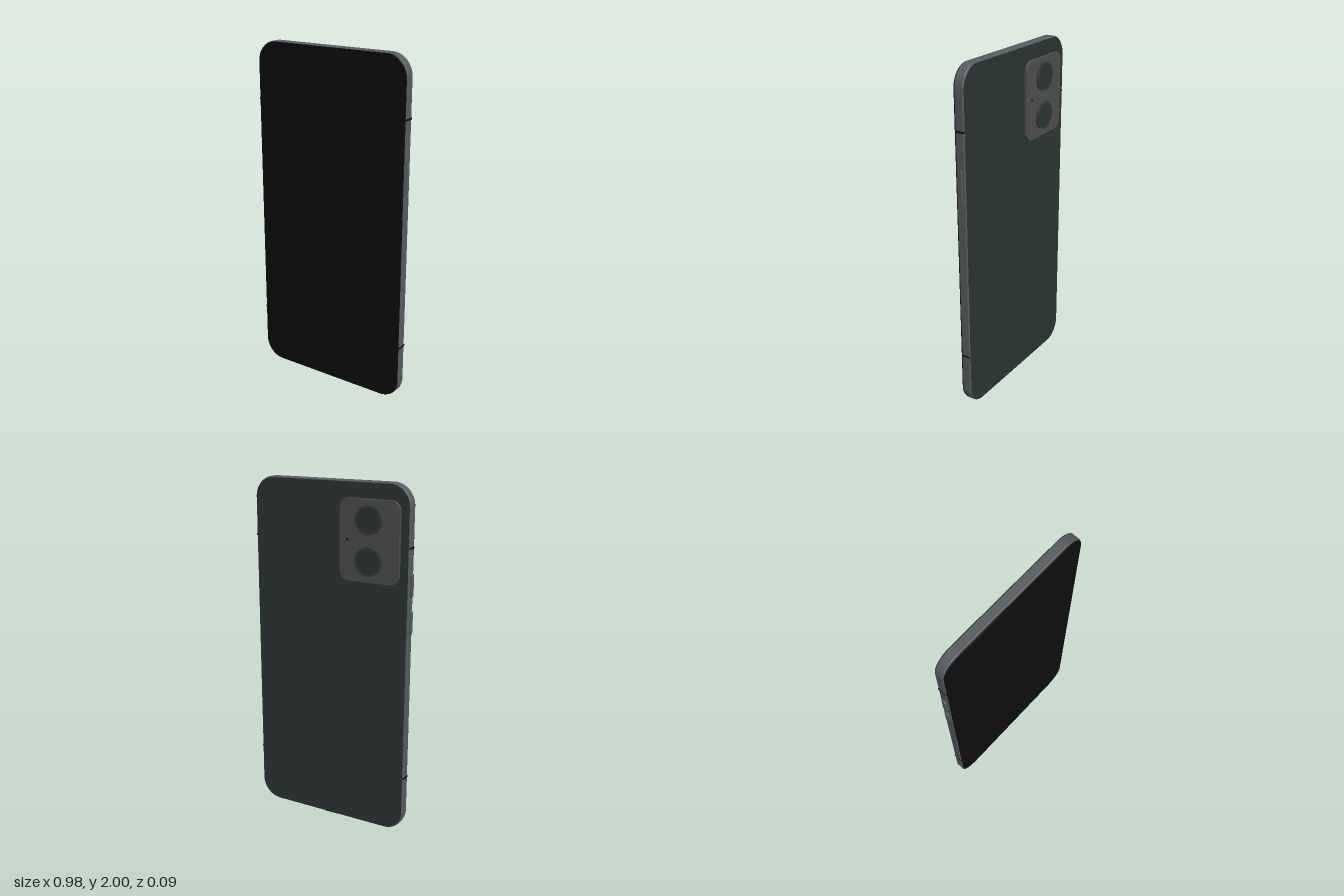
import * as THREE from 'three';

const mat = (name, color) => {
  const m = new THREE.MeshStandardMaterial({ color });
  m.name = name;
  return m;
};

// Rounded rectangle outline centred on the origin
function roundedRect(w, h, r) {
  const s = new THREE.Shape();
  const x = w / 2, y = h / 2;
  s.moveTo(x, -y + r);
  s.absarc(x - r, y - r, r, 0, Math.PI / 2);
  s.absarc(-x + r, y - r, r, Math.PI / 2, Math.PI);
  s.absarc(-x + r, -y + r, r, Math.PI, Math.PI * 1.5);
  s.absarc(x - r, -y + r, r, Math.PI * 1.5, Math.PI * 2);
  return s;
}

// Rounded slab whose full size is w x h, spanning z0..z1, with rounded edges
function slab(w, h, r, z0, z1, bevel = 0, segments = 4) {
  const g = new THREE.ExtrudeGeometry(roundedRect(w - 2 * bevel, h - 2 * bevel, r - bevel), {
    depth: z1 - z0 - 2 * bevel,
    curveSegments: 16,
    bevelEnabled: bevel > 0,
    bevelThickness: bevel,
    bevelSize: bevel,
    bevelSegments: segments,
  });
  return g.translate(0, 0, z0 + bevel);
}

export function createModel() {
  const model = new THREE.Group();
  const frameMat = mat('frame grey', 0x575d61);
  const screenMat = mat('screen black', 0x0d0d0d);
  const backMat = mat('back dark green', 0x2b3533);
  const bumpMat = mat('camera plate grey', 0x4e4e50);
  const rimMat = mat('lens rim', 0x363c3c);
  const blackMat = mat('port black', 0x101112);

  const add = (name, geometry, material, x = 0, y = 0, z = 0, parent = model) => {
    const m = new THREE.Mesh(geometry, material);
    m.name = name;
    m.position.set(x, y, z);
    parent.add(m);
    return m;
  };

  const W = 0.964, H = 1.992, R = 0.12, midY = 1.004;

  // Body: metal frame, front glass and back panel
  add('frame', slab(W, H, R, -0.02, 0.036, 0.008), frameMat, 0, midY);
  add('screen', slab(W - 0.008, H - 0.008, R - 0.004, 0.034, 0.041, 0.002, 1), screenMat, 0, midY);
  add('backPanel', slab(W - 0.014, H - 0.014, R - 0.007, -0.0225, -0.0185, 0.001, 1), backMat, 0, midY);
  add('frontCamera', slab(0.194, 0.056, 0.028, 0.04, 0.0435), screenMat, 0, 1.94);

  // Rear camera plate with two lenses and a flash
  const camera = new THREE.Group();
  camera.name = 'rearCamera';
  model.add(camera);
  add('cameraPlate', slab(0.36, 0.45, 0.055, -0.037, -0.02, 0.003, 2), bumpMat, -0.25, 1.685, 0, camera);
  const disc = (name, r, z0, z1, material, x, y) => {
    const g = new THREE.CylinderGeometry(r, r, z1 - z0, 48).rotateX(Math.PI / 2);
    add(name, g, material, x, y, (z0 + z1) / 2, camera);
  };
  for (const y of [1.8, 1.578]) {
    disc('lensRim', 0.08, -0.047, -0.036, rimMat, -0.248, y);
    disc('lensGlass', 0.068, -0.0485, -0.046, backMat, -0.248, y);
  }
  disc('flash', 0.016, -0.0395, -0.036, bumpMat, -0.121, 1.69);
  disc('microphone', 0.007, -0.0402, -0.039, blackMat, -0.121, 1.69);

  // Side buttons
  const button = (name, side, y0, y1, reach) =>
    add(name, slab(0.026, y1 - y0, 0.012, -0.012, 0.012, 0.002, 2).rotateY(Math.PI / 2),
      frameMat, side * (reach - 0.012), (y0 + y1) / 2, 0.01);
  button('powerButton', 1, 1.27, 1.46, 0.489);
  button('volumeUpButton', -1, 1.4, 1.53, 0.492);
  button('volumeDownButton', -1, 1.2, 1.325, 0.492);

  // Antenna bands across both sides
  for (const side of [-1, 1])
    for (const y of [1.665, 0.345])
      add('antennaBand', new THREE.BoxGeometry(0.008, 0.011, 0.054), blackMat, side * 0.48, y, 0.008);

  // Charging port and speaker holes on the bottom edge
  add('chargingPort', slab(0.092, 0.024, 0.012, 0, 0.012).rotateX(-Math.PI / 2), blackMat, 0, 0, 0.008);
  for (const side of [-1, 1])
    for (let i = 0; i < 4; i++)
      add('speakerHole', new THREE.CylinderGeometry(0.009, 0.009, 0.008, 20), blackMat,
        side * (0.15 + i * 0.033), 0.0085, 0.008);

  return model;
}
